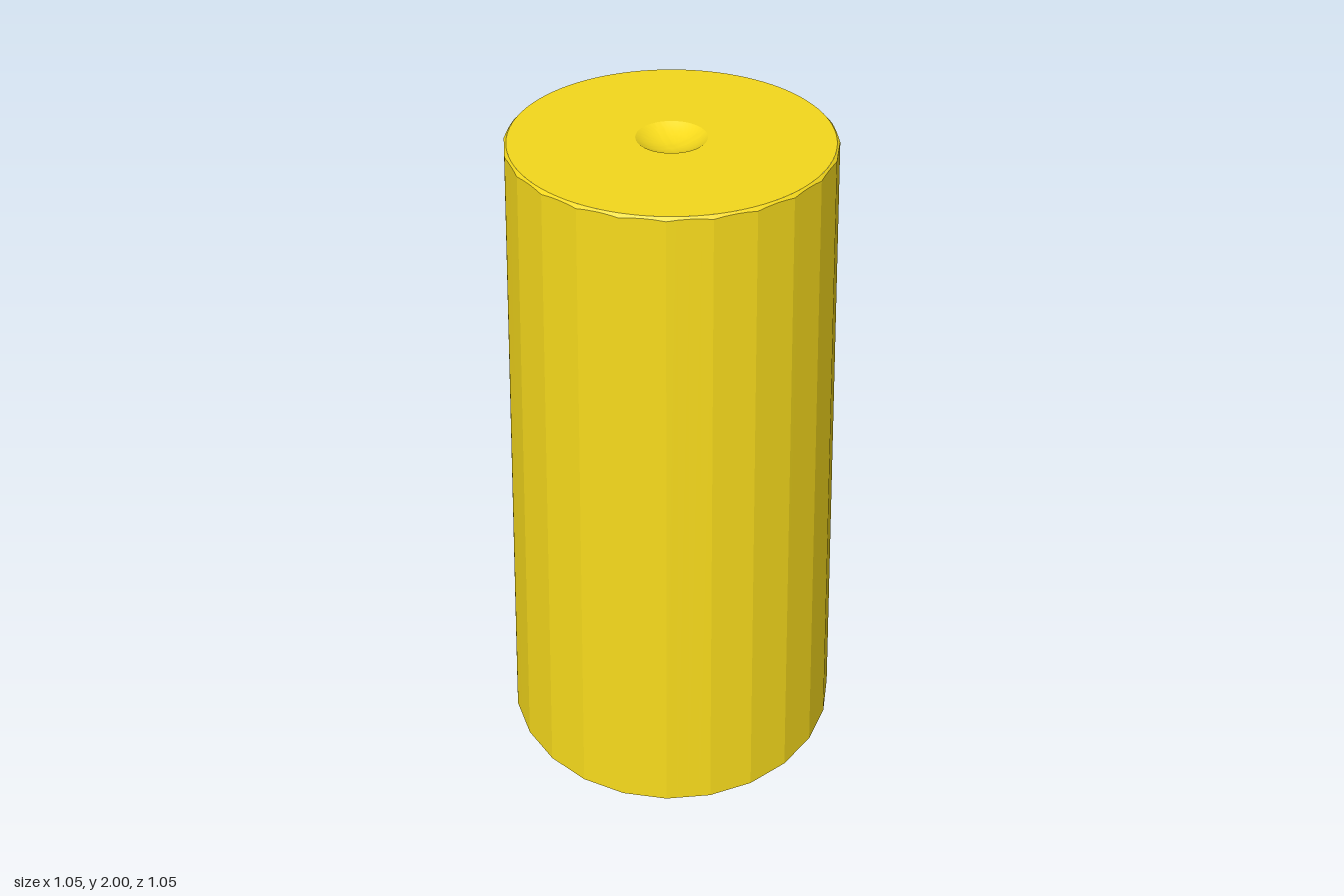
import * as THREE from 'three';
import { toCreasedNormals } from 'three/addons/utils/BufferGeometryUtils.js';

const SIDES = 24, FINE = 96, START = THREE.MathUtils.degToRad(5);
const HEIGHT = 2, R_BOTTOM = 0.527, R_TOP = 0.441, R_CHAMFER = 0.432;
const GROOVE_OUT = 0.495, GROOVE_IN = 0.414, GROOVE_DEPTH = 0.1;

// distance from the axis to a regular polygon with corner radius r
function polygonRadius(r, angle) {
  const step = (Math.PI * 2) / SIDES;
  const a = (((angle - START) % step) + step) % step - step / 2;
  return (r * Math.cos(step / 2)) / Math.cos(a);
}

// open band of fine columns; each ring is placed by a rule angle -> [radius, y]
function band(topRule, bottomRule, crease) {
  const geo = new THREE.CylinderGeometry(1, 1, 2, FINE, 1, true, START);
  const pos = geo.attributes.position;
  for (let i = 0; i < pos.count; i++) {
    const angle = Math.atan2(pos.getX(i), pos.getZ(i));
    const [r, y] = (pos.getY(i) > 0 ? topRule : bottomRule)(angle);
    pos.setXYZ(i, r * Math.sin(angle), y, r * Math.cos(angle));
  }
  return toCreasedNormals(geo, crease);
}

function lathe(points, crease = 0.4) {
  const profile = points.map(([r, y]) => new THREE.Vector2(r, y));
  return toCreasedNormals(new THREE.LatheGeometry(profile, FINE), crease);
}

function circle(x, y, r, Type = THREE.Path) {
  const path = new Type();
  path.absarc(x, y, r, 0, Math.PI * 2);
  return path;
}

export function createModel() {
  const group = new THREE.Group();
  const material = new THREE.MeshStandardMaterial({ color: 0xf5d91c });
  const add = (name, geometry) => {
    const mesh = new THREE.Mesh(geometry, material);
    mesh.name = name;
    group.add(mesh);
  };

  // tapered faceted wall, scalloped at the top where the round chamfer cuts it
  const edge = (angle) => {
    const r = polygonRadius(R_TOP, angle);
    return [r, HEIGHT - (r - R_CHAMFER)];
  };
  add('facetedBody', band(edge, (a) => [polygonRadius(R_BOTTOM, a), 0], 0.13));
  add('topChamfer', band(() => [R_CHAMFER, HEIGHT], edge, 0.4));

  // flat top with a shallow spherical dimple
  const dimpleR = 0.095, sphereR = 0.165;
  const lift = Math.sqrt(sphereR ** 2 - dimpleR ** 2);
  const topProfile = [[R_CHAMFER, HEIGHT]];
  for (let i = 0; i <= 10; i++) {
    const r = dimpleR * (1 - i / 10);
    topProfile.push([r, HEIGHT + lift - Math.sqrt(sphereR ** 2 - r ** 2)]);
  }
  add('dimpledTop', lathe(topProfile));

  // underside rim between the faceted wall and the groove
  const corners = [];
  for (let i = 0; i < SIDES; i++) {
    const a = START + (i / SIDES) * Math.PI * 2;
    corners.push(new THREE.Vector2(R_BOTTOM * Math.sin(a), R_BOTTOM * Math.cos(a)));
  }
  const rim = new THREE.Shape(corners);
  rim.holes.push(circle(0, 0, GROOVE_OUT));
  add('bottomRim', new THREE.ShapeGeometry(rim, FINE / 2).rotateX(Math.PI / 2));

  // ring groove: floor and outer wall
  add('ringGroove', lathe([[GROOVE_IN, GROOVE_DEPTH], [GROOVE_OUT, GROOVE_DEPTH], [GROOVE_OUT, 0]]));

  // core flush with the underside, with a shaft hole and two pin holes
  const coreHeight = 0.8;
  const core = circle(0, 0, GROOVE_IN, THREE.Shape);
  core.holes.push(circle(0, 0, 0.117), circle(0, 0.316, 0.06), circle(0, -0.316, 0.06));
  const coreGeo = new THREE.ExtrudeGeometry(core, { depth: coreHeight, bevelEnabled: false, curveSegments: 48 });
  add('core', toCreasedNormals(coreGeo.rotateX(Math.PI / 2).translate(0, coreHeight, 0), 0.5));

  // floor closing the holes
  add('holeFloor', new THREE.CircleGeometry(GROOVE_IN, 48).rotateX(Math.PI / 2).translate(0, coreHeight, 0));

  return group;
}
